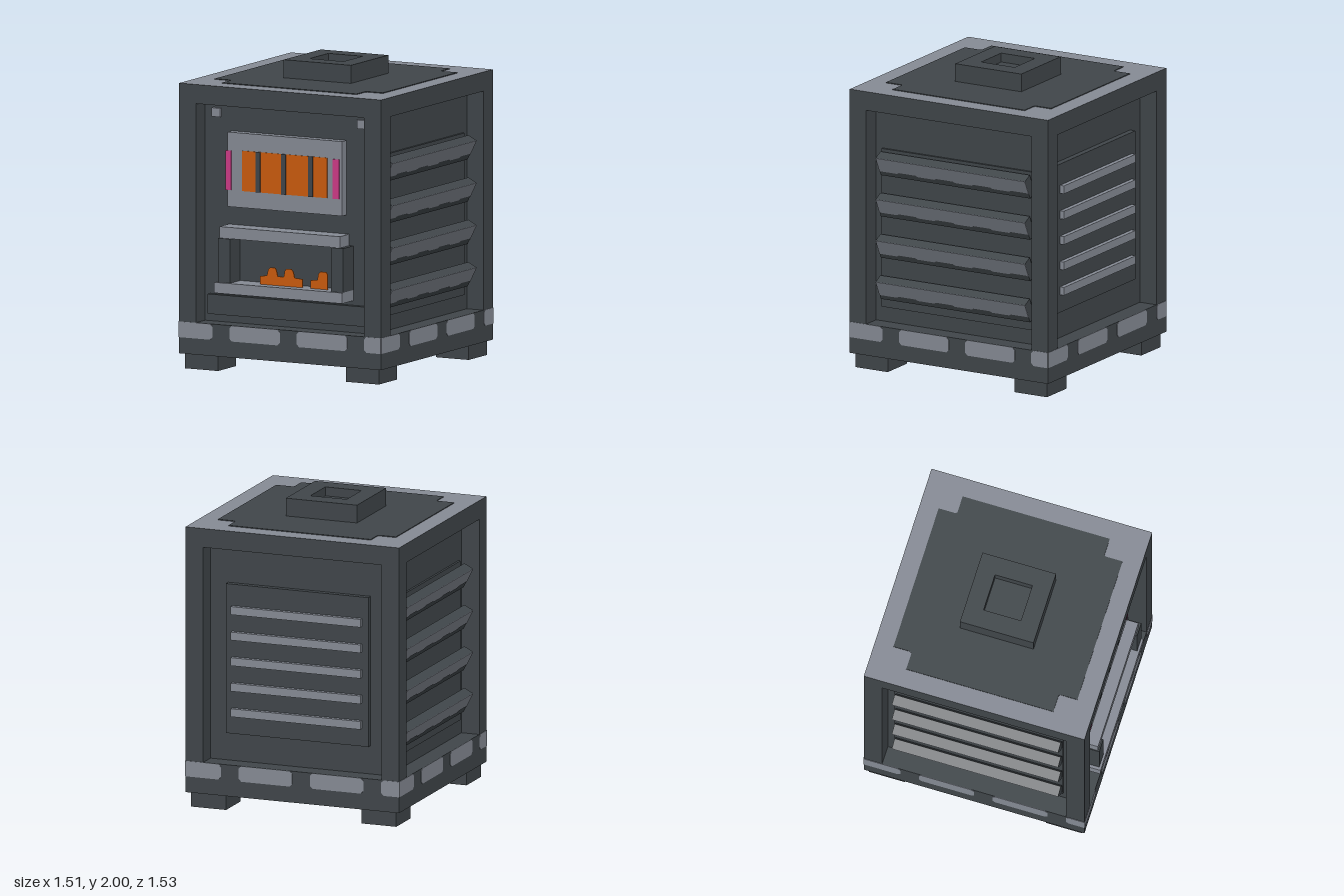
import * as THREE from 'three';

const material = (name, color) => {
  const m = new THREE.MeshStandardMaterial({ color });
  m.name = name;
  return m;
};

export function createModel() {
  const iron = material('dark iron', 0x40464a);
  const steel = material('light steel', 0x868b95);
  const ember = material('orange ember', 0xcc5c0c);
  const pink = material('pink', 0xcf3a87);

  const model = new THREE.Group();
  model.name = 'furnace';
  const body = new THREE.Group();
  body.name = 'body';
  body.position.z = -0.015;
  model.add(body);

  const add = (name, geometry, mat, parent = body) => {
    const mesh = new THREE.Mesh(geometry, mat);
    mesh.name = name;
    parent.add(mesh);
    return mesh;
  };
  // Box given by its limits on each axis
  const box = (name, mat, [x0, x1], [y0, y1], [z0, z1], parent = body) => {
    const mesh = add(name, new THREE.BoxGeometry(x1 - x0, y1 - y0, z1 - z0), mat, parent);
    mesh.position.set((x0 + x1) / 2, (y0 + y1) / 2, (z0 + z1) / 2);
    return mesh;
  };
  const shapeOf = (points) => new THREE.Shape(points.map(([x, y]) => new THREE.Vector2(x, y)));
  const extrude = (points, depth) =>
    new THREE.ExtrudeGeometry(shapeOf(points), { depth, bevelEnabled: false });

  // Cabinet: core, base, top slab with a steel upper face
  box('core', iron, [-0.625, 0.625], [0.2, 1.8], [-0.625, 0.625]);
  box('base', iron, [-0.75, 0.75], [0.1, 0.31], [-0.75, 0.75]);
  box('topSlab', [iron, iron, steel, iron, iron, iron], [-0.75, 0.75], [1.75, 1.876], [-0.75, 0.75]);

  // Corner posts and feet
  for (const sx of [-1, 1]) {
    for (const sz of [-1, 1]) {
      const post = box('cornerPost', iron, [-0.0625, 0.0625], [0.31, 1.75], [-0.0625, 0.0625]);
      post.position.x = sx * 0.6875;
      post.position.z = sz * 0.6875;
      const foot = box('foot', iron, [-0.1225, 0.1225], [0, 0.1], [-0.1225, 0.1225]);
      foot.position.x = sx * 0.5975;
      foot.position.z = sz * 0.6025;
    }
  }

  // Dark top plate with notched corners
  const notch = [[0.625, 0.5], [0.51, 0.5], [0.5, 0.51], [0.5, 0.625]];
  const outline = [];
  for (let i = 0; i < 4; i++) {
    const c = Math.round(Math.cos(i * Math.PI / 2)), s = Math.round(Math.sin(i * Math.PI / 2));
    for (const [x, y] of notch) outline.push([x * c - y * s, x * s + y * c]);
  }
  const topPlate = add('topPlate', extrude(outline, 0.006), iron);
  topPlate.rotation.x = -Math.PI / 2;
  topPlate.position.y = 1.875;

  // Square chimney collar with a shallow opening
  const square = (r) => [[-r, -r], [r, -r], [r, r], [-r, r]];
  const collarShape = shapeOf(square(0.25));
  collarShape.holes.push(shapeOf(square(0.127)));
  const collar = add('chimneyCollar',
    new THREE.ExtrudeGeometry(collarShape, { depth: 0.12, bevelEnabled: false }), iron);
  collar.rotation.x = -Math.PI / 2;
  collar.position.y = 1.88;
  box('chimneyFloor', iron, [-0.14, 0.14], [1.88, 1.94], [-0.14, 0.14]);

  // Steel patches around the base, the same run on each side
  const patches = [[-0.75, -0.5], [-0.375, 0], [0.125, 0.5], [0.625, 0.75]];
  for (let side = 0; side < 4; side++) {
    const run = new THREE.Group();
    run.name = 'basePatches';
    run.rotation.y = side * Math.PI / 2;
    body.add(run);
    for (const [a, b] of patches) {
      const ca = a === -0.75 ? 0 : 0.018, cb = b === 0.75 ? 0 : 0.018;
      const pts = [[a + ca, 0.206], [b - cb, 0.206]];
      if (cb) pts.push([b, 0.206 + cb], [b, 0.31 - cb]);
      pts.push([b - cb, 0.31], [a + ca, 0.31]);
      if (ca) pts.push([a, 0.31 - ca], [a, 0.206 + ca]);
      add('basePatch', extrude(pts, 0.003), steel, run).position.z = 0.75;
    }
  }

  // Front window: frame, glowing panes, bars, side latches
  box('windowFrame', steel, [-0.425, 0.425], [1.08, 1.57], [0.62, 0.685]);
  box('windowPane', ember, [-0.315, 0.315], [1.19, 1.455], [0.68, 0.689]);
  for (const x of [-0.196, -0.006, 0.194]) {
    box('windowBar', iron, [x - 0.016, x + 0.016], [1.19, 1.455], [0.68, 0.694]);
  }
  for (const [a, b] of [[-0.435, -0.395], [0.36, 0.405]]) {
    box('windowLatch', pink, [a, b], [1.19, 1.45], [0.62, 0.693]);
  }

  // Corner studs and lower plate
  for (const [a, b] of [[-0.565, -0.503], [0.515, 0.575]]) {
    box('stud', steel, [a, b], [1.657, 1.715], [0.62, 0.65]);
  }
  box('lowerPlate', iron, [-0.587, 0.585], [0.36, 0.49], [0.62, 0.66]);

  // Firebox: lintel, pillars, hearth, flames
  box('lintel', steel, [-0.45, 0.445], [0.88, 0.955], [0.62, 0.75]);
  box('hearth', steel, [-0.475, 0.475], [0.52, 0.59], [0.62, 0.775]);
  for (const [a, b] of [[-0.455, -0.365], [0.385, 0.475]]) {
    box('pillar', iron, [a, b], [0.59, 0.88], [0.62, 0.76]);
  }
  const flames = [
    [[-0.175, 0.59], [0.14, 0.59], [0.14, 0.645], [0.08, 0.65], [0.07, 0.69], [0.055, 0.705],
      [0.02, 0.705], [0.008, 0.69], [0, 0.65], [-0.045, 0.65], [-0.055, 0.69], [-0.065, 0.705],
      [-0.1, 0.705], [-0.115, 0.69], [-0.125, 0.65], [-0.175, 0.643]],
    [[0.2, 0.59], [0.325, 0.59], [0.325, 0.69], [0.312, 0.705], [0.272, 0.705], [0.258, 0.69],
      [0.25, 0.65], [0.2, 0.643]],
  ];
  for (const f of flames) add('flame', extrude(f, 0.008), ember).position.z = 0.693;

  // Side louvres: tilted slats, steel outer face with a ragged lower edge
  const slatLength = 1.13;
  const slatProfile = [[0.605, -0.1], [0.665, -0.13], [0.73, 0], [0.67, 0.03]];
  const ragged = [[0, 0], [0, -0.108]];
  const steps = 8;
  for (let i = 0; i < steps; i++) {
    const y = i % 2 ? -0.1 : -0.11;
    ragged.push([(i + 0.05) * slatLength / steps, y], [(i + 0.95) * slatLength / steps, y]);
  }
  ragged.push([slatLength, -0.108], [slatLength, 0]);
  for (const turn of [0, Math.PI]) {
    const louvres = new THREE.Group();
    louvres.name = turn ? 'rightLouvres' : 'leftLouvres';
    louvres.rotation.y = turn;
    body.add(louvres);
    box('louvrePanel', iron, [0.6, 0.64], [0.41, 1.475], [-0.57, 0.575], louvres);
    for (let i = 0; i < 4; i++) {
      const y = 1.433 - i * 0.278;
      add('slat', extrude(slatProfile, slatLength), iron, louvres)
        .position.set(0, y, -slatLength / 2);
      const face = add('slatFace', extrude(ragged, 0.003), steel, louvres);
      face.rotation.order = 'ZYX';
      face.rotation.set(0, Math.PI / 2, -Math.atan2(0.065, 0.13));
      face.position.set(0.73, y, slatLength / 2);
    }
  }

  // Back grille
  box('backPanel', iron, [-0.5, 0.5], [0.5, 1.5], [-0.665, -0.62]);
  for (let i = 0; i < 5; i++) {
    const y = 1.33 - i * 0.171;
    box('backBar', steel, [-0.455, 0.455], [y - 0.027, y + 0.027], [-0.695, -0.65]);
  }

  return model;
}
